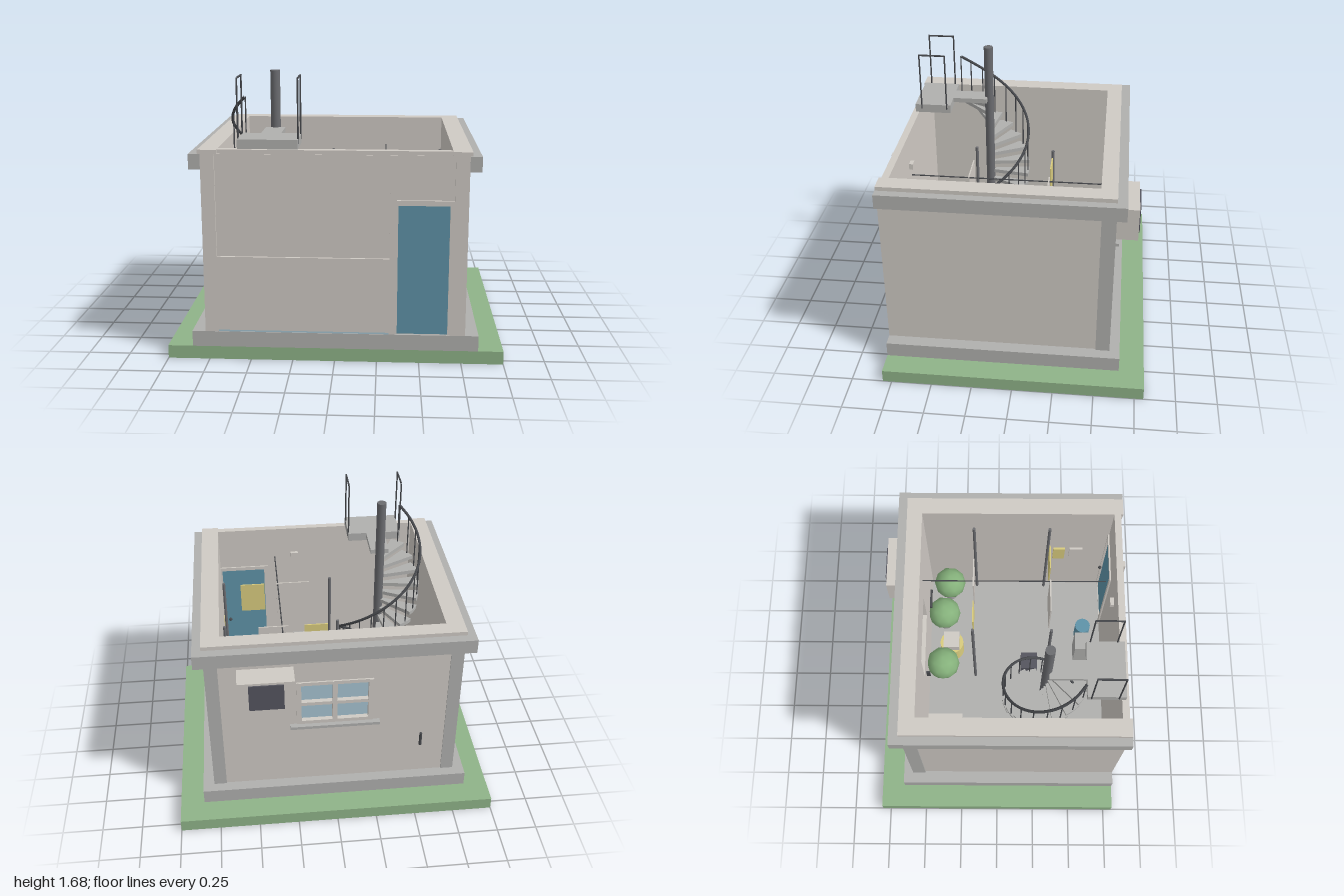
import * as THREE from 'three';

const mat = (name, color) => {
  const m = new THREE.MeshStandardMaterial({ color });
  m.name = name;
  return m;
};

export function createModel() {
  const root = new THREE.Group();
  const plaster = mat('plaster', 0xcfcac4), concrete = mat('concrete', 0xb0b0ae);
  const grass = mat('grass', 0x8fb388), blue = mat('door blue', 0x5f93a8);
  const glass = mat('glass', 0xa6c3d1), metal = mat('metal', 0x6b6c70);
  const dark = mat('dark', 0x55555f), rail = mat('rail', 0x484a4e);
  const yellow = mat('yellow', 0xd8cb7e), leaf = mat('leaf', 0x86b27c);

  const add = (name, geo, m, x = 0, y = 0, z = 0) => {
    const mesh = new THREE.Mesh(geo, m);
    mesh.name = name;
    mesh.position.set(x, y, z);
    root.add(mesh);
    return mesh;
  };
  // box given by its limits
  const box = (name, m, x0, x1, y0, y1, z0, z1) =>
    add(name, new THREE.BoxGeometry(x1 - x0, y1 - y0, z1 - z0), m, (x0 + x1) / 2, (y0 + y1) / 2, (z0 + z1) / 2);
  const cyl = (name, m, r, x, y0, y1, z, n = 16) =>
    add(name, new THREE.CylinderGeometry(r, r, y1 - y0, n), m, x, (y0 + y1) / 2, z);
  // straight round bar between two points
  const bar = (name, m, a, b, r) =>
    add(name, new THREE.TubeGeometry(new THREE.LineCurve3(a, b), 1, r, 8), m);
  const V = (x, y, z) => new THREE.Vector3(x, y, z);

  // ground and plinth, whose top is the floor
  box('lawn', grass, -1, 1, 0, 0.08, -0.805, 0.805);
  box('plinth', concrete, -0.85, 0.85, 0.08, 0.175, -0.65, 0.805);

  // side walls, corner posts, cornice and coping
  for (const s of [-1, 1]) {
    const side = (name, m, a, b, ...r) => box(name, m, Math.min(a * s, b * s), Math.max(a * s, b * s), ...r);
    side('sideWall', plaster, 0.675, 0.77, 0.175, 1.25, -0.5, 0.745);
    side('cornerPost', concrete, 0.7, 0.78, 0.175, 1.16, -0.587, -0.5);
    side('sideCornice', concrete, 0.77, 0.838, 1.16, 1.25, -0.645, 0.805);
    side('sideCoping', plaster, 0.675, 0.785, 1.25, 1.275, -0.587, 0.803);
  }
  box('backCornice', concrete, -0.77, 0.77, 1.16, 1.25, -0.645, -0.58);
  box('backCoping', plaster, -0.675, 0.675, 1.25, 1.275, -0.587, -0.49);
  box('frontCoping', plaster, -0.675, 0.675, 1.25, 1.275, 0.745, 0.788);

  // wall with one rectangular opening
  const holedWall = (name, x, y0, y1, hx0, hx1, hy0, hy1, z, depth) => {
    const s = new THREE.Shape([[-x, y0], [x, y0], [x, y1], [-x, y1]].map(p => new THREE.Vector2(...p)));
    s.holes.push(new THREE.Path([[hx0, hy0], [hx0, hy1], [hx1, hy1], [hx1, hy0]].map(p => new THREE.Vector2(...p))));
    add(name, new THREE.ExtrudeGeometry(s, { depth, bevelEnabled: false }), plaster, 0, 0, z);
  };
  holedWall('backWall', 0.77, 0.175, 1.25, -0.22, 0.22, 0.65, 0.955, -0.58, 0.09);
  holedWall('frontWall', 0.77, 0.175, 1.25, 0.368, 0.665, 0.18, 0.96, 0.745, 0.045);

  // raised front facing around the recessed panels
  for (const [x0, x1, y0, y1] of [
    [-0.77, -0.69, 0.175, 1.25], [0.32, 0.36, 0.175, 1.25], [0.69, 0.77, 0.175, 1.25],
    [-0.69, 0.32, 0.186, 0.64], [0.36, 0.69, 0.96, 0.99],
    [0.36, 0.368, 0.175, 0.96], [0.665, 0.69, 0.175, 0.96],
  ]) box('frontFacing', plaster, x0, x1, y0, y1, 0.789, 0.804);
  box('glassStrip', glass, -0.69, 0.32, 0.176, 0.186, 0.789, 0.803);
  box('frontDoor', blue, 0.368, 0.665, 0.18, 0.96, 0.75, 0.796);
  for (const [x0, x1, y0, y1] of [[0.34, 0.368, 0.175, 0.985], [0.665, 0.675, 0.175, 0.985], [0.368, 0.665, 0.96, 0.985]])
    box('doorFrame', plaster, x0, x1, y0, y1, 0.735, 0.747);
  add('doorKnob', new THREE.SphereGeometry(0.012, 12, 8), rail, 0.63, 0.55, 0.725);

  // back window with frame, crossbars and sill
  box('windowGlass', glass, -0.22, 0.22, 0.65, 0.955, -0.56, -0.552);
  for (const x of [-0.222, 0, 0.222]) box('windowUpright', plaster, x - 0.015, x + 0.015, 0.645, 0.965, -0.592, -0.54);
  for (const y of [0.655, 0.8, 0.955]) box('windowCrossbar', plaster, -0.235, 0.235, y - 0.012, y + 0.012, -0.59, -0.542);
  box('windowSill', concrete, -0.28, 0.28, 0.62, 0.64, -0.615, -0.575);

  // outdoor unit and handle on the back wall
  box('outdoorUnit', plaster, 0.25, 0.59, 0.88, 1.09, -0.722, -0.58);
  box('unitGrille', dark, 0.315, 0.525, 0.895, 1.075, -0.73, -0.721);
  cyl('backHandle', rail, 0.009, -0.54, 0.445, 0.54, -0.633, 10);

  // spiral stair
  const cx = -0.39, cz = 0.3, rise = 0.062, step = Math.PI / 10, first = Math.PI / 5;
  const at = (i, r, y) => {
    const a = first + i * step;
    return V(cx - r * Math.sin(a), y, cz + r * Math.cos(a));
  };
  cyl('stairPole', metal, 0.03, cx, 0.175, 1.68, cz);
  box('topTread', concrete, -0.45, -0.33, 1.3, 1.33, 0.31, 0.54);
  box('landing', concrete, -0.56, -0.21, 1.275, 1.33, 0.535, 0.768);
  const handrail = [];
  for (let i = 0; i < 17; i++) {
    const y = 1.33 - rise * (i + 1);
    const wedge = new THREE.Shape();
    wedge.moveTo(0.02, -0.012);
    wedge.lineTo(0.02, 0.012);
    for (const t of [0.19, 0.1, 0, -0.1, -0.19]) wedge.lineTo(0.27 * Math.cos(t), 0.27 * Math.sin(t));
    const tread = add('tread', new THREE.ExtrudeGeometry(wedge, { depth: 0.025, bevelEnabled: false }).rotateX(-Math.PI / 2), concrete, cx, y - 0.025, cz);
    tread.rotation.y = -Math.PI / 2 - first - i * step;
    bar('baluster', rail, at(i, 0.262, y - 0.02), at(i, 0.262, y + 0.275), 0.004);
    handrail.push(at(i, 0.265, y + 0.275));
  }
  add('handrail', new THREE.TubeGeometry(new THREE.CatmullRomCurve3(handrail), 64, 0.009, 8), rail);
  for (const x of [-0.56, -0.212]) {
    for (const z of [0.56, 0.725]) bar('landingPost', rail, V(x, 1.3, z), V(x, 1.68, z), 0.005);
    bar('landingRail', rail, V(x, 1.676, 0.556), V(x, 1.676, 0.729), 0.006);
  }

  // posts with hanging pictures, and the ceiling track
  for (const z of [-0.16, 0.34])
    for (const x of [-0.06, 0.65]) cyl('post', metal, 0.01, x, 0.175, 1.11, z, 10);
  const picture = (m, x0, x1, y0, z) => box('hangingPanel', m, x0, x1, y0, 1.09, z - 0.004, z + 0.004);
  picture(yellow, 0, 0.15, 0.885, -0.16);
  picture(plaster, 0.25, 0.44, 0.78, -0.16);
  picture(plaster, 0.08, 0.3, 0.78, 0.34);
  picture(yellow, 0.38, 0.54, 0.885, 0.34);
  bar('track', rail, V(0.29, 1.08, -0.49), V(0.29, 1.08, 0.7), 0.004);
  box('sidePicture', yellow, 0.652, 0.665, 0.65, 0.8, 0.38, 0.46);
  box('sidePicture', plaster, 0.652, 0.665, 0.65, 0.8, 0.49, 0.58);

  // desk and chair
  box('deskTop', plaster, -0.66, -0.43, 0.43, 0.46, -0.47, -0.24);
  for (const x of [-0.645, -0.445])
    for (const z of [-0.455, -0.255]) box('deskLeg', plaster, x - 0.012, x + 0.012, 0.175, 0.43, z - 0.012, z + 0.012);
  cyl('chairSeat', dark, 0.068, -0.54, 0.33, 0.355, -0.225, 20);
  cyl('chairStem', metal, 0.015, -0.54, 0.175, 0.33, -0.225);

  // potted plants
  for (const [x, z, r] of [[-0.04, -0.385, 0.115], [0.34, -0.385, 0.115], [0.575, -0.35, 0.112]]) {
    add('plantPot', new THREE.CylinderGeometry(0.06, 0.045, 0.12, 14), concrete, x, 0.235, z);
    add('foliage', new THREE.IcosahedronGeometry(r, 1), leaf, x, 0.385, z);
  }

  // stools, table, bin and small wall fittings
  cyl('roundTable', yellow, 0.082, 0.135, 0.175, 0.33, -0.33, 24);
  box('tableBox', plaster, 0.075, 0.19, 0.33, 0.4, -0.385, -0.275);
  box('stool', dark, -0.06, 0.055, 0.175, 0.34, 0.165, 0.28);
  box('cabinet', concrete, 0.05, 0.175, 0.175, 0.44, 0.545, 0.675);
  cyl('bin', blue, 0.053, 0.265, 0.175, 0.34, 0.61, 20);
  box('wallBox', plaster, 0.125, 0.175, 1.05, 1.09, 0.72, 0.746);
  box('wallVent', rail, 0.3, 0.43, 0.58, 0.6, -0.475, -0.46);
  box('innerHandle', rail, -0.16, -0.15, 0.45, 0.54, -0.49, -0.465);

  return root;
}
